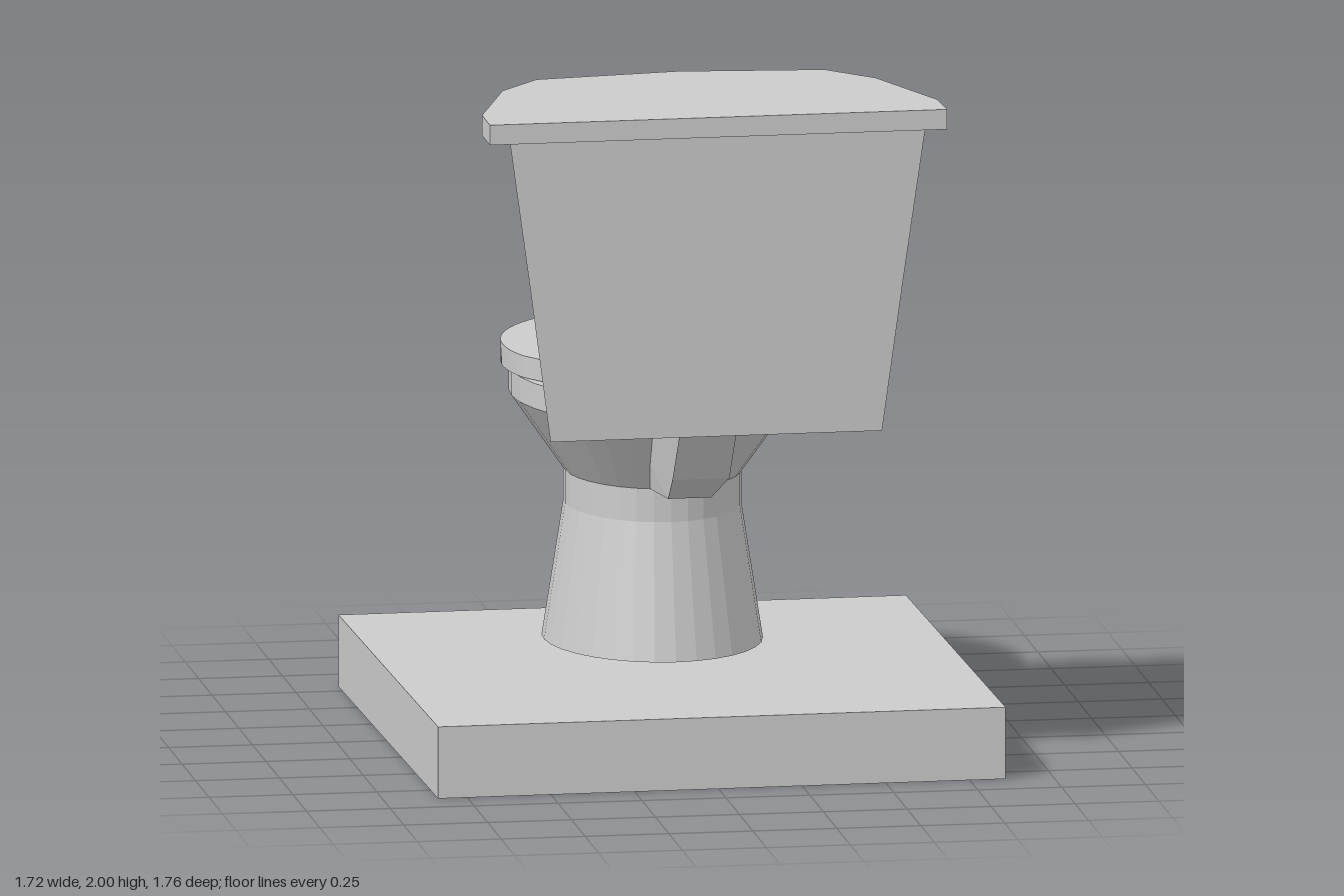
import * as THREE from 'three';

const material = new THREE.MeshStandardMaterial({ color: 0xcccccc, flatShading: true });

function add(parent, name, geometry, x = 0, y = 0, z = 0) {
  const mesh = new THREE.Mesh(geometry, material);
  mesh.name = name;
  mesh.position.set(x, y, z);
  parent.add(mesh);
  return mesh;
}

// Flat slab from a shape drawn in x/z, with its top at y = 0
function slab(shape, depth) {
  return new THREE.ExtrudeGeometry(shape, { depth, bevelEnabled: false, curveSegments: 40 }).rotateX(Math.PI / 2);
}

// Joins rings of equal length, listed bottom to top, and caps both ends
function loft(rings) {
  const n = rings[0].length, index = [];
  for (let r = 0; r < rings.length - 1; r++) {
    for (let i = 0; i < n; i++) {
      const a = r * n + i, b = r * n + (i + 1) % n;
      index.push(a, a + n, b, b, a + n, b + n);
    }
  }
  const top = (rings.length - 1) * n;
  for (let i = 1; i < n - 1; i++) {
    index.push(0, i, i + 1, top, top + i + 1, top + i);
  }
  const geometry = new THREE.BufferGeometry();
  geometry.setAttribute('position', new THREE.Float32BufferAttribute(rings.flat(2), 3));
  geometry.setIndex(index);
  const flat = geometry.toNonIndexed();
  flat.computeVertexNormals();
  return flat;
}

export function createModel() {
  const model = new THREE.Group();
  model.name = 'toilet';
  model.rotation.y = 0.0147;

  // Floor plinth
  add(model, 'plinth', new THREE.BoxGeometry(1.695, 0.215, 1.695), -0.003, 0.1075, 0.016);

  // Pedestal and bowl: one oval lathe with a shallow recess in the rim
  const profile = [
    [0, 0.225], [0.323, 0.225], [0.26, 0.63], [0.26, 0.73], [0.42, 0.96],
    [0.42, 1.035], [0.335, 1.035], [0.335, 0.965], [0, 0.965],
  ].map(([r, y]) => new THREE.Vector2(r, y));
  add(model, 'bowl', new THREE.LatheGeometry(profile, 32).scale(1, 1, 1.255), -0.003, 0, -0.32);

  // Seat ring, blunt at the back
  const seatShape = new THREE.Shape();
  seatShape.absellipse(0, -0.38, 0.437, 0.505, Math.PI - 0.364, 2 * Math.PI + 0.364, false);
  for (const [x, z] of [[0.345, -0.09], [0.25, 0.045], [0, 0.08], [-0.25, 0.045], [-0.345, -0.09]]) {
    seatShape.lineTo(x, z);
  }
  seatShape.closePath();
  seatShape.holes.push(new THREE.Path().absellipse(0, -0.38, 0.303, 0.35, 0, Math.PI * 2, true));
  add(model, 'seat', slab(seatShape, 0.065), 0, 1.104, 0).rotation.x = -0.01;

  // Seat hinges
  for (const side of [-1, 1]) {
    const hinge = new THREE.CylinderGeometry(0.037, 0.037, 0.07, 8).rotateZ(Math.PI / 2).rotateX(Math.PI / 8);
    add(model, 'hinge', hinge, side * 0.1, 1.061, 0.14);
  }

  // Neck from bowl to tank, narrower along its underside
  const neckShape = new THREE.Shape([
    [0.63, 1.037], [0.49, 0.855], [0.3, 0.76], [0, 0.73], [-0.05, 0.85], [0.09, 0.89], [0.265, 1.037],
  ].map(([z, y]) => new THREE.Vector2(-z, y)));
  const neck = new THREE.ExtrudeGeometry(neckShape, { depth: 0.17, bevelEnabled: false });
  neck.translate(0, 0, -0.085).rotateY(Math.PI / 2);
  const p = neck.attributes.position;
  for (let i = 0; i < p.count; i++) {
    if (p.getY(i) < 0.8) p.setX(i, p.getX(i) * 0.76);
  }
  add(model, 'neck', neck);

  // Tank: tapered, with a front that bows out toward the top
  const ring = (y, back, backZ, front, frontZ, apexZ) => [
    [-back, y, backZ], [back, y, backZ], [front, y, frontZ], [0, y, apexZ], [-front, y, frontZ],
  ];
  // Rings run anticlockwise from below, so reverse them to face outward
  add(model, 'tank', loft([
    ring(1.035, 0.495, 0.752, 0.37, 0.26, 0.258),
    ring(1.48, 0.555, 0.763, 0.388, 0.205, 0.172),
    ring(1.94, 0.62, 0.775, 0.405, 0.155, 0.12),
  ].map((r) => r.reverse())));

  // Tank lid
  const half = [[0.683, 0.79], [0.68, 0.64], [0.557, 0.29], [0.43, 0.142]];
  const outline = [...half, [0, 0.092], ...half.map(([x, z]) => [-x, z]).reverse()];
  const lidShape = new THREE.Shape(outline.map(([x, z]) => new THREE.Vector2(x, z)));
  add(model, 'lid', slab(lidShape, 0.06), 0, 2, 0);

  // Flush lever on the slanted side of the tank
  const lever = new THREE.Group();
  lever.name = 'flushLever';
  lever.position.set(0.435, 1.82, 0.278);
  lever.rotation.y = 1.886;
  add(lever, 'leverPivot', new THREE.CylinderGeometry(0.04, 0.04, 0.07, 8).rotateX(Math.PI / 2), 0, 0, 0.02);
  const arm = add(lever, 'leverArm', new THREE.BoxGeometry(0.13, 0.045, 0.025), 0.068, -0.018, 0.043);
  arm.rotation.z = -0.42;
  model.add(lever);

  return model;
}
